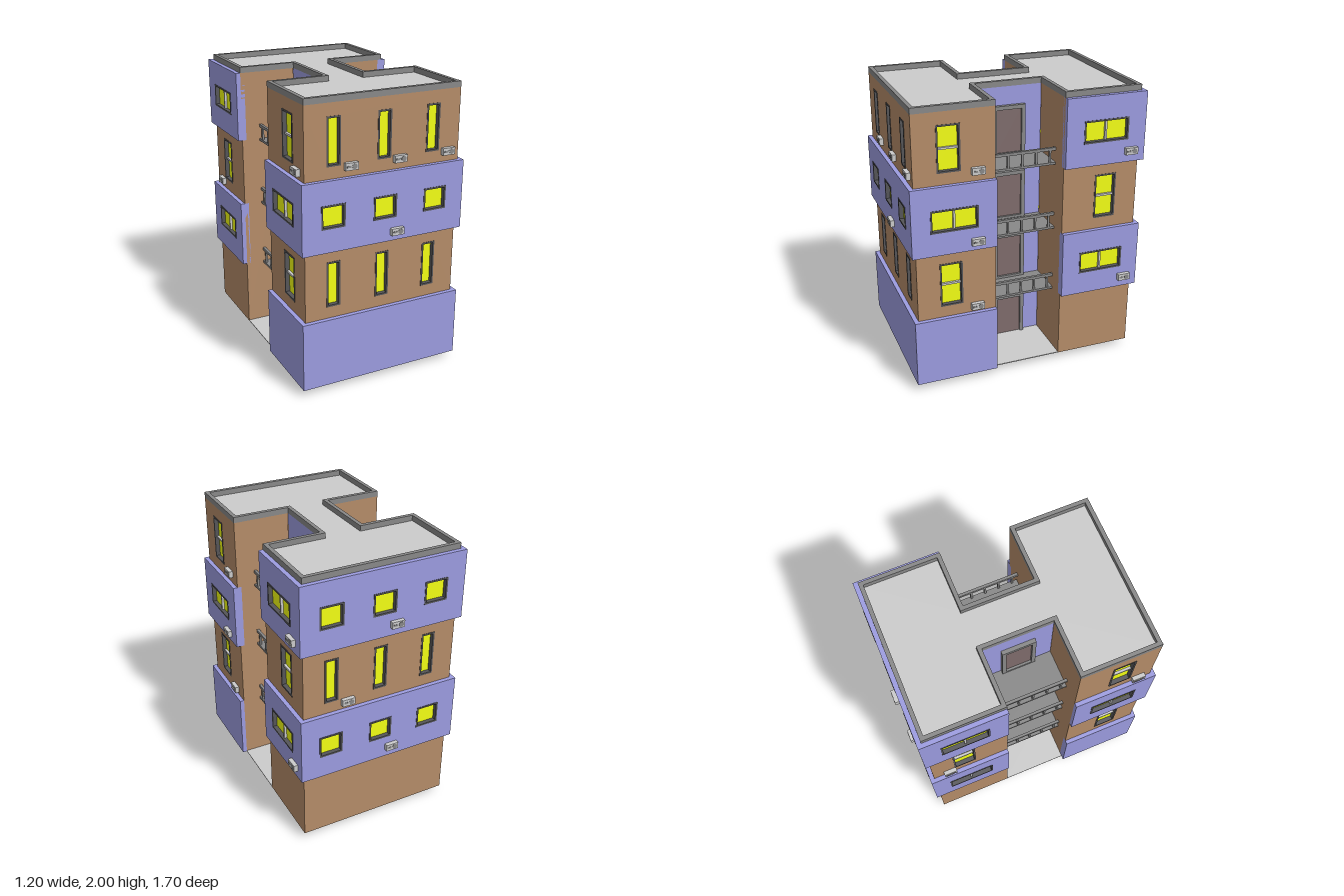
import * as THREE from 'three';

const mat = (color, side = THREE.FrontSide) => new THREE.MeshStandardMaterial({ color, side });
const BLUE = mat(0x9c9ce0), BROWN = mat(0xb58c68), GREY = mat(0xcccccc), DARK = mat(0x888888);
const FRAME = mat(0x555558), GLASS = mat(0xf4ff14), DOOR = mat(0x7f6c6c);

// Plan: two wings joined by a narrow core (half sizes)
const X = 0.555, Z = 0.79, CORE = 0.155, NOTCH = 0.24;
const STEP = 0.03, WALL = 0.03;
const LEVELS = [0.05, 0.53, 1.005, 1.48, 1.96];

function add(parent, name, geometry, material) {
  const mesh = new THREE.Mesh(geometry, material);
  mesh.name = name;
  parent.add(mesh);
  return mesh;
}

// Box given by its limits
function box(parent, name, material, x0, x1, y0, y1, z0, z1) {
  const mesh = add(parent, name, new THREE.BoxGeometry(x1 - x0, y1 - y0, z1 - z0), material);
  mesh.position.set((x0 + x1) / 2, (y0 + y1) / 2, (z0 + z1) / 2);
  return mesh;
}

function rect(path, x0, x1, y0, y1) {
  path.moveTo(x0, y0).lineTo(x1, y0).lineTo(x1, y1).lineTo(x0, y1).closePath();
  return path;
}

// Rectangular panel with rectangular openings, front surface at z = front
function panel(parent, name, material, r, holes, front, depth) {
  const shape = rect(new THREE.Shape(), ...r);
  for (const h of holes) shape.holes.push(rect(new THREE.Path(), ...h));
  const mesh = add(parent, name, new THREE.ExtrudeGeometry(shape, { depth, bevelEnabled: false }), material);
  mesh.position.z = front - depth;
  return mesh;
}

// Group whose local +z is the outward direction of a facade
function facing(parent, name, angle, dist) {
  const g = new THREE.Group();
  g.name = name;
  g.rotation.y = angle;
  g.position.set(Math.sin(angle) * dist, 0, Math.cos(angle) * dist);
  parent.add(g);
  return g;
}

// Recessed window: frame, pane and optional glazing bar ('h' or 'v')
function windowUnit(parent, [x0, x1, y0, y1], bar) {
  const f = 0.012, cx = (x0 + x1) / 2, cy = (y0 + y1) / 2;
  panel(parent, 'windowFrame', FRAME, [x0, x1, y0, y1], [[x0 + f, x1 - f, y0 + f, y1 - f]], 0.003, 0.036);
  box(parent, 'windowPane', GLASS, x0 + f, x1 - f, y0 + f, y1 - f, -0.034, -0.027);
  if (bar === 'h') box(parent, 'glazingBar', GREY, x0 + f, x1 - f, cy - 0.007, cy + 0.007, -0.028, -0.01);
  if (bar === 'v') box(parent, 'glazingBar', GREY, cx - 0.007, cx + 0.007, y0 + f, y1 - f, -0.028, -0.01);
}

// One storey of one facade
function facade(parent, name, angle, dist, u0, u1, level, blue, centres, bar) {
  const g = facing(parent, name, angle, dist);
  const y = LEVELS[level], [w, lo, hi] = blue ? [bar ? 0.325 : 0.168, 0.16, 0.318] : [bar ? 0.158 : 0.098, 0.08, 0.396];
  const holes = level === 0 ? [] : centres.map(c => [c - w / 2, c + w / 2, y + lo, y + hi]);
  panel(g, 'wall', blue ? BLUE : BROWN, [u0, u1, y, LEVELS[level + 1]], holes, 0, blue ? STEP + WALL : WALL);
  for (const h of holes) windowUnit(g, h, bar && (blue ? 'v' : 'h'));
}

// Wing with alternating storeys, open underneath
function wing(parent, name, angle, blueFirst) {
  const g = facing(parent, name, angle, 0);
  for (let i = 0; i < 4; i++) {
    const blue = (i % 2 === 0) === blueFirst, o = blue ? STEP : 0;
    const t = o + WALL, spread = blue ? 0.37 : 0.355, c = blue ? 0.53 : 0.553, end = Z + o - t;
    facade(g, 'endFacade', 0, Z + o, -X - o, X + o, i, blue, [-spread, 0, spread]);
    facade(g, 'sideFacade', Math.PI / 2, X + o, -end, -NOTCH, i, blue, [-c], true);
    facade(g, 'sideFacade', -Math.PI / 2, X + o, NOTCH, end, i, blue, [c], true);
  }
  // Walls facing the recess between the wings
  for (const [a, b] of [[-X, -CORE], [CORE, X]])
    box(g, 'recessWall', BROWN, a + 0.001, b - 0.001, LEVELS[0], LEVELS[4], NOTCH, NOTCH + WALL);
}

// H-shaped plan, drawn inwards by d
function plan(path, d) {
  const x = X - d, z = Z - d, c = CORE - d, n = NOTCH + d;
  const q = [[x, n], [x, z], [-x, z], [-x, n], [-c, n], [-c, -n], [-x, -n], [-x, -z], [x, -z], [x, -n], [c, -n], [c, n]];
  return path.setFromPoints(q.map(p => new THREE.Vector2(...p)));
}

function planSlab(parent, name, material, d, y0, y1, holeInset) {
  const shape = plan(new THREE.Shape(), d);
  if (holeInset) shape.holes.push(plan(new THREE.Path(), holeInset));
  const geo = new THREE.ExtrudeGeometry(shape, { depth: y1 - y0, bevelEnabled: false }).rotateX(-Math.PI / 2);
  add(parent, name, geo, material).position.y = y0;
}

// Door with surround, in a facade group
function door(parent, y0, y1) {
  const f = 0.027, w = 0.117;
  panel(parent, 'doorFrame', DARK, [-w, w, y0, y1], [[-w + f, w - f, y0 + f, y1 - f]], 0.028, 0.066);
  box(parent, 'doorLeaf', DOOR, -w + f, w - f, y0 + f, y1 - f, -0.01, 0.012);
}

// Balcony slab and railing, in a facade group
function balcony(parent, y) {
  const d = 0.27, n = NOTCH;
  box(parent, 'balconySlab', DARK, -n, n, y - 0.016, y, 0, d);
  box(parent, 'handrail', DARK, -n, n, y + 0.085, y + 0.105, d - 0.02, d);
  for (let i = -2; i <= 2; i++)
    box(parent, 'railPost', DARK, i * 0.1 - 0.007, i * 0.1 + 0.007, y, y + 0.09, d - 0.017, d - 0.003);
}

// Air conditioner: case, round fan and grille
function airConditioner(parent, angle, dist, u, y) {
  const g = facing(parent, 'airConditioner', angle, dist);
  box(g, 'case', GREY, u - 0.045, u + 0.045, y - 0.024, y + 0.024, 0, 0.028);
  const fan = add(g, 'fan', new THREE.CylinderGeometry(0.018, 0.018, 0.004, 16).rotateX(Math.PI / 2), DARK);
  fan.position.set(u + 0.018, y, 0.028);
  box(g, 'grille', DARK, u - 0.036, u - 0.008, y - 0.006, y + 0.006, 0.026, 0.03);
}

export function createModel() {
  const model = new THREE.Group();
  model.name = 'apartmentBlock';
  model.position.x = -0.013;

  wing(model, 'frontWing', 0, true);
  wing(model, 'backWing', Math.PI, false);

  // Core walls with doors, balconies and paving in the recesses
  for (const s of [1, -1]) {
    const g = facing(model, 'coreSide', s * Math.PI / 2, CORE);
    box(g, 'coreWall', BLUE, -NOTCH, NOTCH, LEVELS[0], LEVELS[4], -WALL, 0);
    box(g, 'paving', GREY, -NOTCH, NOTCH, 0.05, 0.056, 0, X - CORE);
    door(g, 0, 0.38);
    for (const y of LEVELS.slice(1, 4)) {
      door(g, y - 0.01, y + 0.352);
      balcony(g, y);
    }
  }

  // Inner floor, roof and parapet
  planSlab(model, 'innerFloor', DARK, 0.031, 0.515, 0.53);
  planSlab(model, 'roof', GREY, 0.02, 1.945, 1.962);
  planSlab(model, 'parapet', DARK, 0, 1.96, 2.0, 0.028);

  // Air conditioners: angle, wall distance, position along wall, height
  const P = Math.PI, R = P / 2, XB = X + STEP, ZB = Z + STEP;
  const units = [
    [0, Z, -0.24, 1.55], [0, Z, 0.11, 1.55], [0, Z, 0.47, 1.55], [0, ZB, 0.085, 1.07],
    [R, X, -0.36, 1.55], [R, XB, -0.375, 1.07], [R, X, -0.375, 0.575], [R, XB, 0.715, 1.56], [R, XB, 0.715, 0.61],
    [P, ZB, 0.087, 1.56], [P, Z, -0.24, 1.06], [P, ZB, 0.087, 0.61],
    [-R, X, 0.69, 1.53], [-R, X, -0.67, 1.06],
  ];
  for (const u of units) airConditioner(model, ...u);

  const root = new THREE.Group();
  root.name = 'building';
  root.add(model);
  return root;
}
